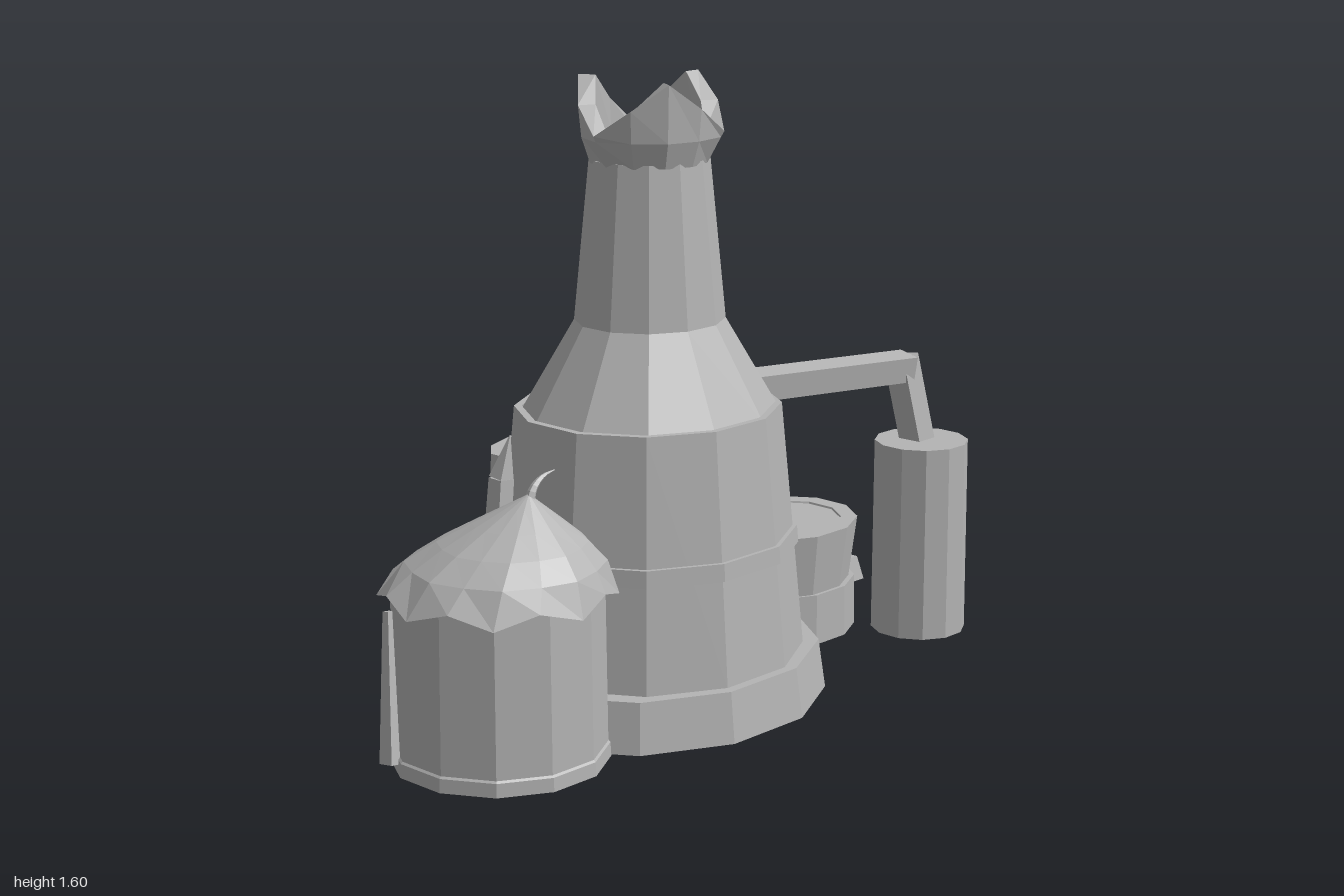
import * as THREE from 'three';

const stone = new THREE.MeshStandardMaterial({ color: 0xb4b4b4, flatShading: true, side: THREE.DoubleSide });
stone.name = 'plain grey';

const V = (x, y, z) => new THREE.Vector3(x, y, z);

export function createModel() {
  const model = new THREE.Group();

  const add = (name, geometry, x = 0, y = 0, z = 0) => {
    const mesh = new THREE.Mesh(geometry, stone);
    mesh.name = name;
    mesh.position.set(x, y, z);
    model.add(mesh);
    return mesh;
  };

  // Faceted turned form with flats facing the axes
  const turned = (name, profile, x, z, depth = 1, sides = 12, start = Math.PI / sides) => {
    const points = profile.map(([r, y]) => new THREE.Vector2(r, y));
    const geometry = new THREE.LatheGeometry(points, sides, start);
    geometry.scale(1, 1, depth);
    return add(name, geometry, x, 0, z);
  };

  // Four-sided bar between two points, optionally tapered
  const bar = (name, a, b, w0, w1 = w0) => {
    const direction = b.clone().sub(a);
    const geometry = new THREE.CylinderGeometry(w1 * 0.707, w0 * 0.707, direction.length(), 4);
    geometry.rotateY(Math.PI / 4);
    const mesh = add(name, geometry);
    mesh.position.copy(a).add(b).multiplyScalar(0.5);
    mesh.quaternion.setFromUnitVectors(V(0, 1, 0), direction.normalize());
    return mesh;
  };

  // Thin pointed-arch plate facing the back
  const arch = (name, w, h, x, y, z, tilt) => {
    const s = new THREE.Shape();
    s.moveTo(-w / 2, 0);
    s.lineTo(w / 2, 0);
    s.lineTo(w / 2, h * 0.55);
    s.quadraticCurveTo(w * 0.42, h * 0.8, 0, h);
    s.quadraticCurveTo(-w * 0.42, h * 0.8, -w / 2, h * 0.55);
    const geometry = new THREE.ExtrudeGeometry(s, { depth: 0.006, bevelEnabled: false, curveSegments: 3 });
    geometry.rotateY(Math.PI);
    geometry.rotateX(tilt);
    return add(name, geometry, x, y, z);
  };

  // Furnace tower: hollow plinth, body, band, shoulder and neck
  const tx = -0.133, tz = 0.04;
  turned('plinth', [[0.49, 0], [0.47, 0.13], [0, 0.13]], tx, tz, 0.88);
  turned('towerBody', [[0.412, 0.13], [0.35, 0.77], [0.33, 0.77]], tx, tz, 0.94);
  turned('towerBand', [[0.385, 0.4], [0.397, 0.4], [0.393, 0.445], [0.375, 0.445]], tx, tz, 0.94);
  turned('shoulderAndNeck', [[0.335, 0.76], [0.197, 0.99], [0.156, 1.4], [0, 1.4]], tx + 0.01, tz - 0.003, 0.94);

  // Crown with three thick pointed petals, bulging at the valleys between them
  const crown = turned('crown',
    [[0.15, 1.39], [0.172, 1.455], [0.18, 2], [0.135, 2], [0.13, 1.455], [0.12, 1.395]],
    tx + 0.008, tz - 0.005, 1, 12, 0).geometry;
  const cp = crown.attributes.position;
  for (let i = 0; i < cp.count; i++) {
    const x = cp.getX(i), y = cp.getY(i), z = cp.getZ(i);
    const petal = Math.cos(3 * Math.atan2(z, x));
    const k = y > 1.4 ? 1 - 0.07 * Math.min(0, petal) : 1;
    cp.setXYZ(i, x * k, y > 1.9 ? 1.47 + 0.065 * (1 + petal) : y, z * k);
  }

  // Pointed buttresses at the back corners
  for (const s of [-1, 1]) {
    bar('buttress', V(tx + s * 0.36, 0.1, -0.17), V(tx + s * 0.322, 0.6, -0.163), 0.065, 0.045);
    bar('buttressTip', V(tx + s * 0.322, 0.6, -0.163), V(tx + s * 0.3, 0.71, -0.152), 0.045, 0.002);
  }

  // Rear porch with arched door
  const porch = new THREE.CylinderGeometry(0.223, 0.252, 0.555, 12, 1, false, Math.PI / 12);
  porch.scale(1, 1, 0.616);
  add('porch', porch, tx, 0.3375, -0.28);
  arch('doorFrame', 0.24, 0.42, tx + 0.008, 0.065, -0.426, 0.034);
  arch('door', 0.16, 0.31, tx + 0.008, 0.067, -0.429, 0.034);
  add('doorKnob', new THREE.SphereGeometry(0.012, 8, 6), -0.075, 0.215, -0.438);

  // Side hut walls and foot
  const hx = -0.715, hz = 0.1;
  turned('hutWalls', [[0.27, 0], [0.268, 0.035], [0.263, 0.04], [0.258, 0.44]], hx, hz);
  add('hutFloor', new THREE.CircleGeometry(0.26, 12, Math.PI / 12).rotateX(Math.PI / 2), hx, 0.04, hz);
  arch('hutDoorFrame', 0.13, 0.25, hx + 0.015, 0.045, hz - 0.252, 0);
  arch('hutDoor', 0.09, 0.18, hx + 0.015, 0.045, hz - 0.256, 0);
  add('hutKnob', new THREE.SphereGeometry(0.008, 6, 4), hx + 0.045, 0.13, hz - 0.264);
  const porthole = add('hutWindow', new THREE.CylinderGeometry(0.04, 0.04, 0.02, 8).rotateX(Math.PI / 2),
    hx - 0.178, 0.2, hz - 0.178);
  porthole.rotation.y = Math.PI / 4;
  bar('hutBrace', V(hx - 0.245, 0.02, hz - 0.115), V(hx - 0.2, 0.38, hz - 0.17), 0.045, 0.02);

  // Scalloped hut roof leaning toward its tip
  const roof = turned('hutRoof',
    [[0.2, 0.44], [0.286, 0.43], [0.24, 0.5], [0.18, 0.55], [0.11, 0.597], [0.045, 0.64], [0, 0.67]],
    hx, hz, 1, 16, 0).geometry;
  const rp = roof.attributes.position;
  for (let i = 0; i < rp.count; i++) {
    const x = rp.getX(i), y = rp.getY(i), z = rp.getZ(i);
    const wave = Math.cos(8 * Math.atan2(x, z)) * Math.hypot(x, z) / 0.29;
    const lean = Math.max(0, (y - 0.44) / 0.23);
    const k = 1 + 0.02 * wave;
    rp.setXYZ(i, x * k + 0.04 * lean, y - (y < 0.435 ? 0.016 * wave : 0), z * k + 0.07 * lean);
  }

  // Curled roof tip, tapering to its end
  const curl = new THREE.CatmullRomCurve3([
    V(-0.675, 0.645, 0.17), V(-0.66, 0.68, 0.17), V(-0.63, 0.703, 0.17), V(-0.59, 0.712, 0.17)]);
  const tip = new THREE.TubeGeometry(curl, 8, 0.015, 5);
  const tp = tip.attributes.position;
  for (let i = 0; i < tp.count; i++) {
    const t = Math.floor(i / 6) / 8;
    const p = V(0, 0, 0).fromBufferAttribute(tp, i).lerp(curl.getPointAt(t), t * 0.9);
    tp.setXYZ(i, p.x, p.y, p.z);
  }
  add('roofCurl', tip);

  // Vat: hollow wide foot, flared tub and shallow surface
  turned('vatFoot', [[0.228, 0], [0.226, 0.14], [0, 0.14]], 0.51, -0.08, 0.87);
  turned('vatTub', [[0.214, 0.14], [0.238, 0.31], [0.19, 0.31], [0.188, 0.305], [0, 0.305]], 0.502, -0.08, 0.87);

  // Pouring spout above the vat
  bar('spout', V(0.2, 0.52, 0.03), V(0.42, 0.385, -0.06), 0.125, 0.045);
  bar('spoutDrip', V(0.415, 0.39, -0.06), V(0.415, 0.295, -0.06), 0.03);

  // Boiler cylinder, open below
  turned('boiler', [[0.13, 0], [0.128, 0.535], [0, 0.535]], 0.772, 0.205);

  // Angled pipe from tower to boiler
  bar('pipe', V(0.16, 0.768, 0.08), V(0.755, 0.738, 0.165), 0.07);
  bar('pipeDrop', V(0.742, 0.765, 0.152), V(0.782, 0.5, 0.19), 0.068);

  // Stack of tapered ingots, open below
  const ingot = (x, y, z) => {
    const geometry = new THREE.BoxGeometry(0.152, 0.068, 0.196);
    const p = geometry.attributes.position;
    for (let i = 0; i < p.count; i++) {
      if (p.getY(i) > 0) p.setXYZ(i, p.getX(i) * 0.82, p.getY(i), p.getZ(i) * 0.85);
    }
    const index = Array.from(geometry.index.array);
    index.splice(18, 6);
    geometry.setIndex(index);
    geometry.clearGroups();
    add('ingot', geometry, x, y + 0.034, z);
  };
  ingot(0.764, 0, -0.277);
  ingot(0.924, 0, -0.277);
  ingot(0.844, 0.068, -0.262);

  return model;
}
